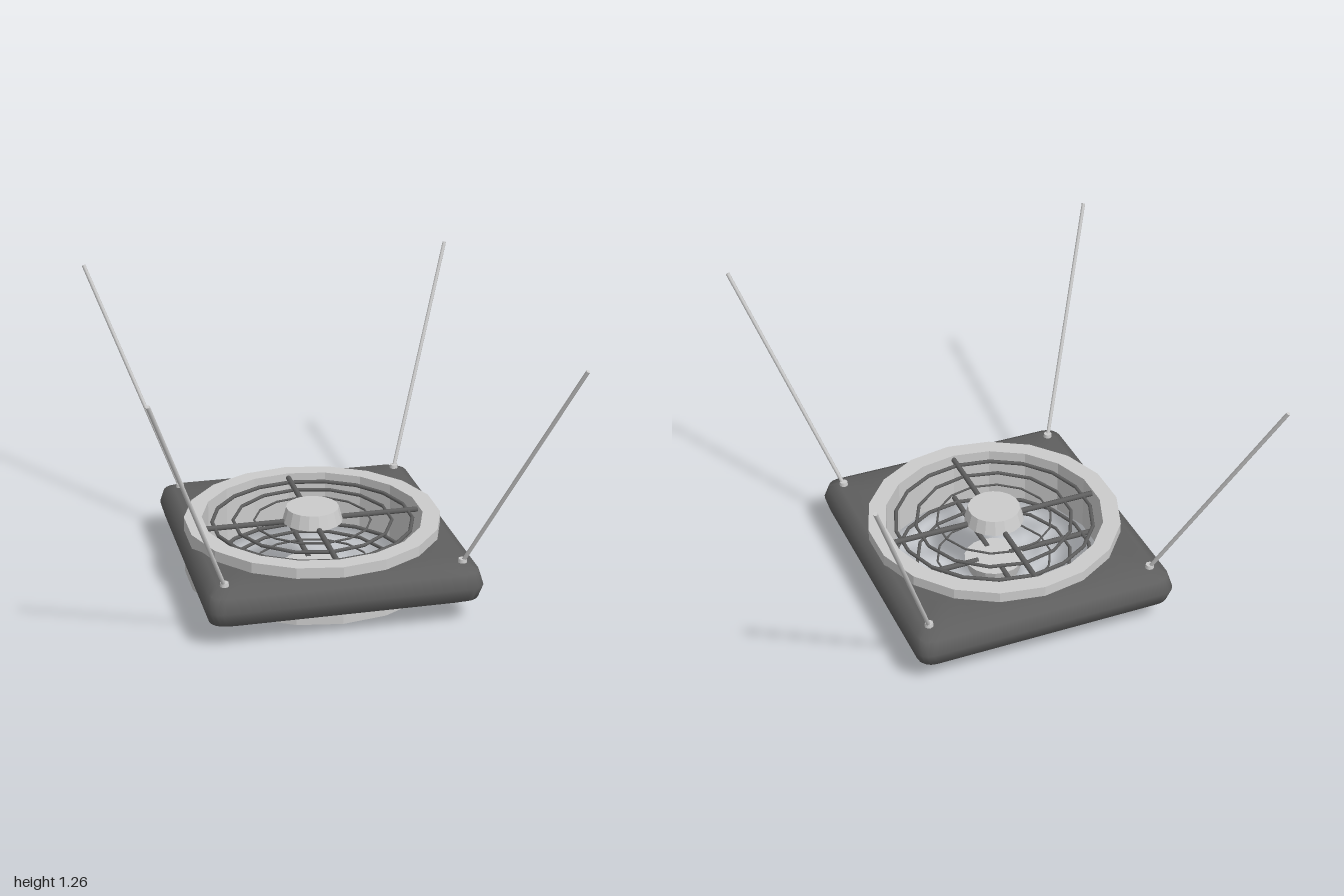
import * as THREE from 'three';
import { toCreasedNormals } from 'three/addons/utils/BufferGeometryUtils.js';

const grey = new THREE.MeshStandardMaterial({ color: 0xcccccc });
const greyFlat = new THREE.MeshStandardMaterial({ color: 0xcccccc, flatShading: true });
const dark = new THREE.MeshStandardMaterial({ color: 0x5f5f5f });

const MID = 0.175;            // height of the horizontal symmetry plane
const CX = -0.015, CZ = 0.015; // fan axis, slightly off the frame centre

function add(parent, name, geometry, material) {
  const mesh = new THREE.Mesh(geometry, material);
  mesh.name = name;
  parent.add(mesh);
  return mesh;
}

// Cylinder running between two points
function rod(parent, name, a, b, radius, material) {
  const dir = b.clone().sub(a);
  const mesh = add(parent, name, new THREE.CylinderGeometry(radius, radius, dir.length(), 8), material);
  mesh.position.copy(a).add(b).multiplyScalar(0.5);
  mesh.quaternion.setFromUnitVectors(new THREE.Vector3(0, 1, 0), dir.normalize());
  return mesh;
}

// Rounded rectangle with evenly divided straight sides, as [x, z] points
function outline(inset) {
  const w = 0.615 - inset, d = 0.667 - inset, r = 0.065;
  const arcs = [[1, 1], [-1, 1], [-1, -1], [1, -1]].map(([sx, sz], q) => {
    const pts = [];
    for (let i = 0; i <= 4; i++) {
      const a = (q + i / 4) * Math.PI / 2;
      pts.push([sx * (w - r) + r * Math.cos(a), sz * (d - r) + r * Math.sin(a)]);
    }
    return pts;
  });
  return arcs.flatMap((arc, q) => {
    const p = arc[4], n = arcs[(q + 1) % 4][0], side = [];
    for (let i = 1; i < 10; i++) {
      side.push([p[0] + (n[0] - p[0]) * i / 10, p[1] + (n[1] - p[1]) * i / 10]);
    }
    return [...arc, ...side];
  });
}

// Pillow-edged square plate with a round hole, from closed rows of points
function frameGeometry() {
  const hole = y => outline(0).map(([x, z]) => {
    const l = Math.hypot(x, z);
    return [x / l * 0.535 + CX, y, z / l * 0.535 + CZ];
  });
  const edge = (inset, y) => outline(inset).map(([x, z]) => [x - 0.004, y, z]);
  const h = 0.086;
  const rows = [hole(h), edge(0.06, h), edge(0.017, 0.062), edge(0, 0), edge(0.017, -0.062), edge(0.06, -h), hole(-h)];
  const n = rows[0].length, index = [];
  rows.forEach((row, r) => {
    const next = (r + 1) % rows.length;
    for (let i = 0; i < n; i++) {
      const j = (i + 1) % n;
      const a = r * n + i, b = r * n + j, c = next * n + i, d = next * n + j;
      index.push(a, b, c, b, d, c);
    }
  });
  const g = new THREE.BufferGeometry();
  g.setAttribute('position', new THREE.Float32BufferAttribute(rows.flat(2), 3));
  g.setIndex(index);
  return toCreasedNormals(g, 0.9);
}

export function createModel() {
  const model = new THREE.Group();
  model.name = 'hangingFan';

  add(model, 'frame', frameGeometry(), dark).position.y = MID;

  const fan = new THREE.Group();
  fan.name = 'fan';
  fan.position.set(CX, MID, CZ);
  model.add(fan);

  // Faceted duct ring
  const profile = [[0.503, -0.135], [0.584, -0.135], [0.584, 0.135], [0.503, 0.135], [0.503, -0.135]];
  add(fan, 'ductRing', new THREE.LatheGeometry(profile.map(p => new THREE.Vector2(...p)), 18), greyFlat);

  // Matching guards above and below
  for (const top of [true, false]) {
    const guard = new THREE.Group();
    guard.name = top ? 'topGuard' : 'bottomGuard';
    if (!top) guard.rotation.z = Math.PI;
    fan.add(guard);

    const hub = add(guard, 'hub', new THREE.CylinderGeometry(0.12, 0.138, 0.065, 18), greyFlat);
    hub.position.y = 0.1425;

    for (const [radius, tube, sides] of [[0.457, 0.009, 18], [0.362, 0.008, 14], [0.266, 0.005, 14]]) {
      const ring = add(guard, 'guardRing', new THREE.TorusGeometry(radius, tube, 6, sides), dark);
      ring.rotation.set(-Math.PI / 2, 0, Math.PI / 2);
      ring.position.y = 0.108;
    }
    for (let i = 0; i < 4; i++) {
      const a = i * Math.PI / 2;
      const at = r => new THREE.Vector3(Math.cos(a) * r, 0.112, Math.sin(a) * r);
      rod(guard, 'spoke', at(0.08), at(0.51), 0.013, dark);
    }
  }

  // Hanging rods with their anchors at the four corners
  for (const sx of [-1, 1]) for (const sz of [-1, 1]) {
    const foot = new THREE.Vector3(sx * 0.528, 0.262, sz * 0.562);
    const tip = new THREE.Vector3(sx * 0.892, 1.258, sz * 0.994);
    rod(model, 'hangingRod', foot, tip, 0.009, grey);
    const anchor = add(model, 'rodAnchor', new THREE.CylinderGeometry(0.018, 0.021, 0.022, 10), grey);
    anchor.position.copy(foot).setY(0.267);
  }
  return model;
}
